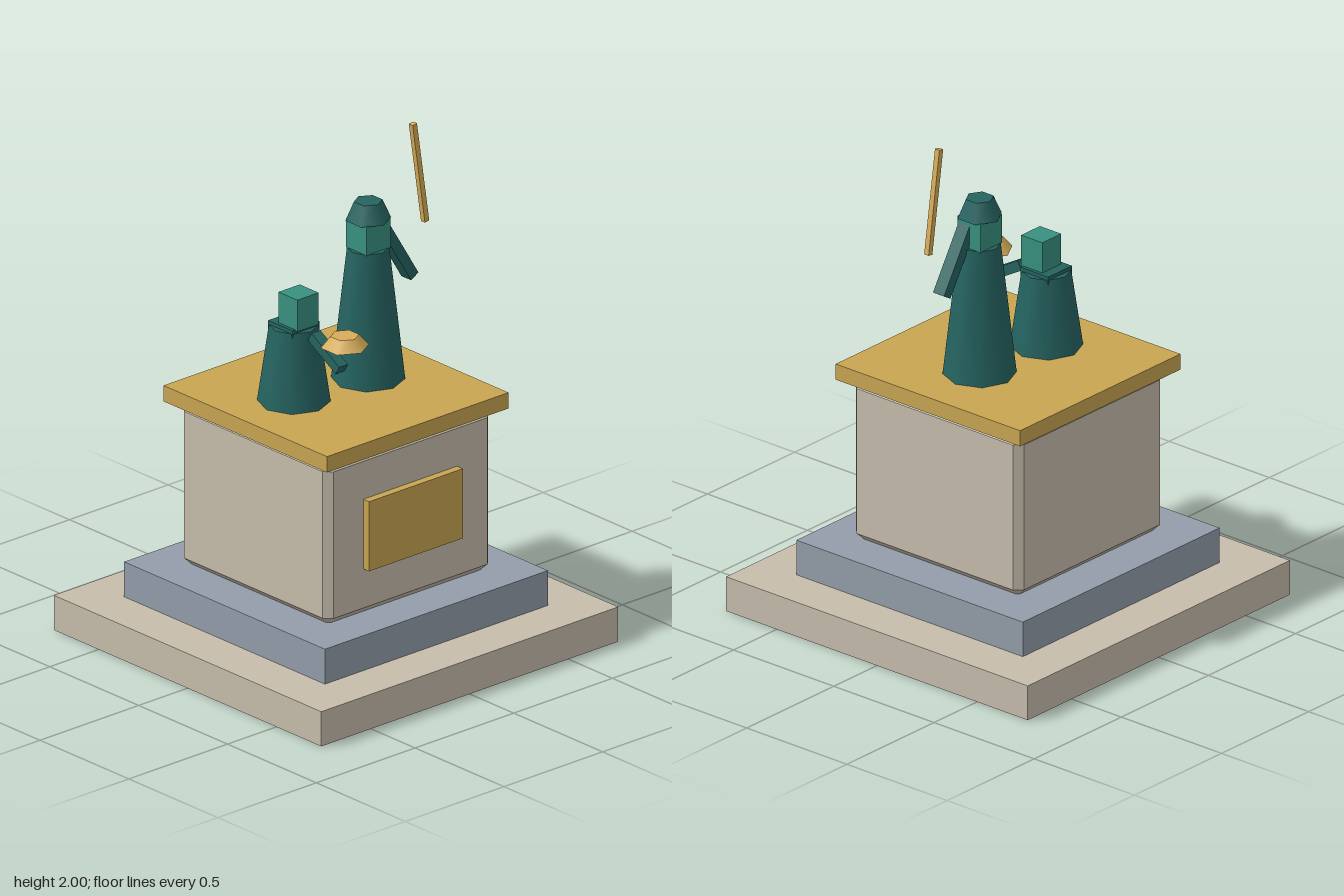
import * as THREE from 'three';

const mat = (name, color) => {
  const m = new THREE.MeshStandardMaterial({ color });
  m.name = name;
  return m;
};

export function createModel() {
  const stone = mat('stone', 0xc6bdac);
  const slate = mat('slate', 0x939da9);
  const bronze = mat('bronze', 0xc8a552);
  const brass = mat('brass', 0xd8ad58);
  const verdigris = mat('verdigris', 0x389180);
  const patina = mat('dark patina', 0x256461);
  const model = new THREE.Group();
  model.name = 'monument';

  const add = (parent, name, geometry, material, x, y, z) => {
    const mesh = new THREE.Mesh(geometry, material);
    mesh.name = name;
    mesh.position.set(x, y, z);
    parent.add(mesh);
    return mesh;
  };
  // Box given by its size, centre x and z, and bottom height
  const box = (parent, name, material, w, h, d, x, y0, z) =>
    add(parent, name, new THREE.BoxGeometry(w, h, d), material, x, y0 + h / 2, z);
  // Tapered prism between two heights
  const taper = (parent, name, material, rTop, rBottom, sides, x, y0, y1, z) =>
    add(parent, name, new THREE.CylinderGeometry(rTop, rBottom, y1 - y0, sides), material, x, (y0 + y1) / 2, z);
  // Square bar running from one point to another
  const bar = (parent, name, material, w, d, from, to) => {
    const a = new THREE.Vector3(...from), b = new THREE.Vector3(...to);
    const dir = b.clone().sub(a);
    const mid = a.add(b).multiplyScalar(0.5);
    const mesh = add(parent, name, new THREE.BoxGeometry(w, dir.length(), d), material, mid.x, mid.y, mid.z);
    mesh.quaternion.setFromUnitVectors(new THREE.Vector3(0, 1, 0), dir.normalize());
    return mesh;
  };

  // Stepped base
  box(model, 'basePlinth', stone, 1.505, 0.142, 1.505, 0, 0, 0);
  box(model, 'step', slate, 1.13, 0.143, 1.13, 0, 0.142, 0);

  // Pedestal with chamfered edges all round
  const c = 0.03, h = 0.39, k = h - 0.0124;
  const outline = new THREE.Shape([
    [k, -h], [h, -k], [h, k], [k, h], [-k, h], [-h, k], [-h, -k], [-k, -h],
  ].map(([x, y]) => new THREE.Vector2(x, y)));
  const block = new THREE.ExtrudeGeometry(outline, {
    depth: 0.6, bevelEnabled: true, bevelThickness: c, bevelSize: c, bevelSegments: 1,
  });
  block.rotateX(-Math.PI / 2);
  add(model, 'pedestal', block, stone, 0, 0.285 + c, 0);
  box(model, 'plaque', bronze, 0.475, 0.285, 0.05, -0.002, 0.475, 0.427);
  box(model, 'cornice', bronze, 0.92, 0.065, 0.92, 0, 0.945, 0);

  // Shorter figure holding out a bowl
  const short = new THREE.Group();
  short.name = 'shortFigure';
  model.add(short);
  taper(short, 'robe', patina, 0.094, 0.139, 8, -0.19, 1.01, 1.32, -0.026);
  box(short, 'collar', patina, 0.137, 0.085, 0.137, -0.19, 1.25, -0.026);
  box(short, 'head', verdigris, 0.108, 0.13, 0.106, -0.19, 1.33, 0);
  bar(short, 'arm', patina, 0.045, 0.04, [-0.19, 1.312, 0.088], [-0.19, 1.222, 0.244]);
  taper(short, 'bowl', brass, 0.055, 0.093, 6, -0.19, 1.322, 1.366, 0.26);

  // Taller figure with a raised staff
  const tall = new THREE.Group();
  tall.name = 'tallFigure';
  model.add(tall);
  taper(tall, 'robe', patina, 0.08, 0.14, 8, 0.163, 1.01, 1.545, 0);
  box(tall, 'head', verdigris, 0.122, 0.12, 0.115, 0.163, 1.543, 0);
  taper(tall, 'hat', patina, 0.055, 0.088, 6, 0.163, 1.66, 1.735, 0);
  bar(tall, 'arm', patina, 0.043, 0.055, [0.205, 1.629, 0.024], [0.353, 1.387, 0.024]);
  bar(tall, 'staff', brass, 0.022, 0.022, [0.368, 1.999, 0.024], [0.43, 1.584, 0.024]);

  return model;
}
